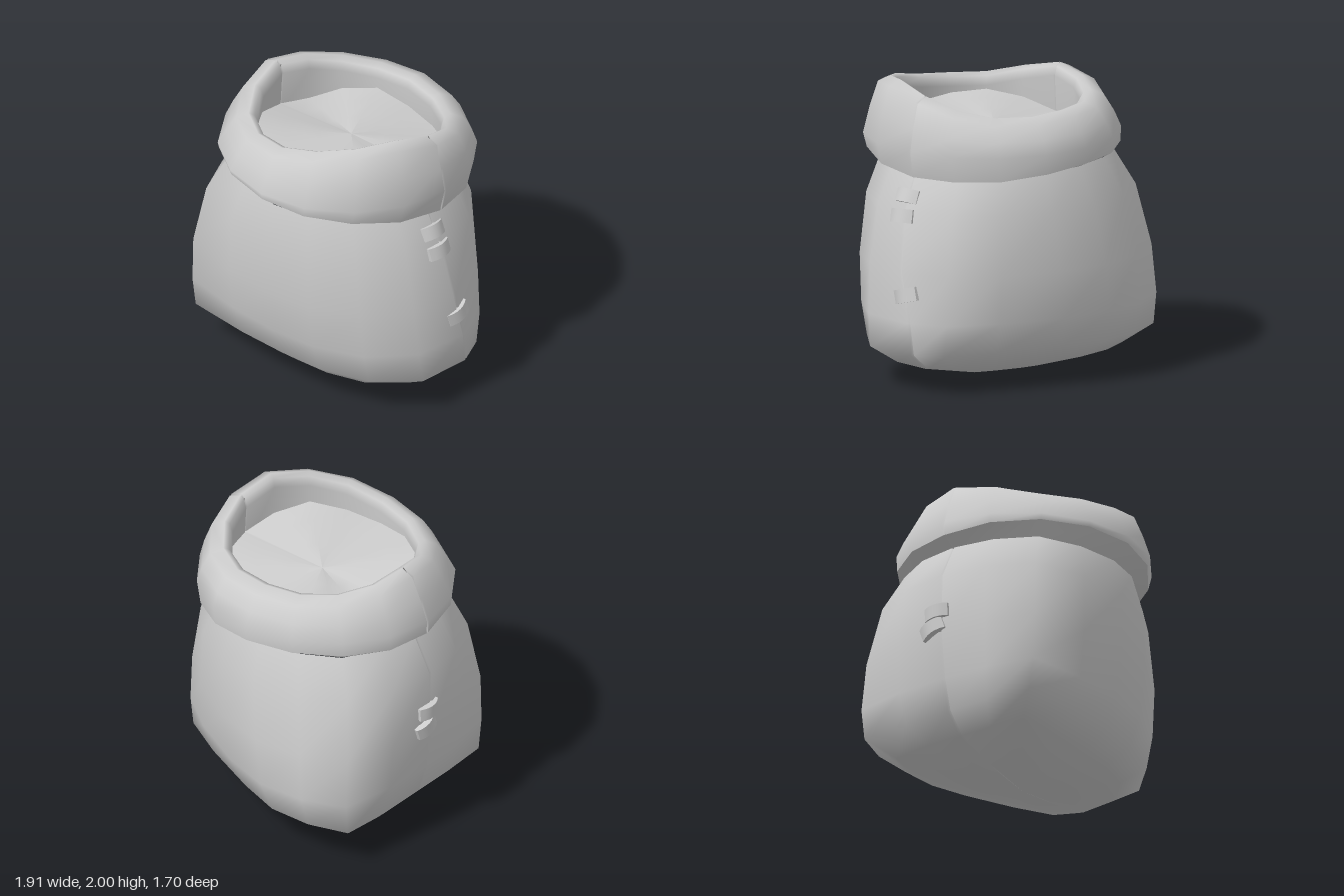
import * as THREE from 'three';

const SIDES = 16, GAP = 0.03;
const cloth = new THREE.MeshStandardMaterial({ color: 0xcccccc });
cloth.name = 'cloth grey';

// Columns round the sack; the two side seams (0 and 8) get three columns each
const columns = [];
for (let k = 0; k < SIDES; k++) {
  if (k % 8 === 0) columns.push([k - GAP, k, 'edge'], [k, k, 'groove'], [k + GAP, k, 'edge']);
  else columns.push([k, k, 'plain']);
}

// Outline of the sagging bottom: two corners on one side, a blunt point on the other
const saggy = [
  [1, 0], [0.93, 0.42], [0.67, 0.79], [0.32, 0.96], [0, 1], [-0.43, 1], [-0.98, 0.95], [-1, 0.45],
  [-1, 0], [-1, -0.45], [-0.96, -0.9], [-0.63, -1], [-0.26, -1], [0.1, -0.86], [0.54, -0.61], [0.86, -0.38],
];
// Heights of the wavy rim, the cuff's hem and the filling's edge at each column
const rim = [1.94, 2.0, 1.97, 1.92, 1.86, 1.83, 1.82, 1.87, 1.92, 1.88, 1.84, 1.82, 1.82, 1.81, 1.82, 1.87];
const hemline = [1.42, 1.45, 1.49, 1.52, 1.545, 1.555, 1.55, 1.53, 1.5, 1.49, 1.49, 1.49, 1.485, 1.46, 1.43, 1.42];
const fill = [1.67, 1.72, 1.77, 1.72, 1.69, 1.71, 1.72, 1.67, 1.6, 1.56, 1.62, 1.66, 1.6, 1.58, 1.63, 1.67];

// Linear reading of a closed list at fractional position k
function around(k, read) {
  const f = Math.floor(k), t = k - f, m = (i) => ((i % SIDES) + SIDES) % SIDES;
  return read(m(f)) * (1 - t) + read(m(f + 1)) * t;
}

// Ring: y (number or function of column), extents left, right, back, front, sag, shift of the right seam
function ring(y, xl, xr, zb, zf, sag = 0, seamZ = 0) {
  return columns.map(([pos, base]) => {
    const k = base === 0 ? pos + seamZ / 0.35 : pos;
    const angle = (i) => (i / SIDES) * Math.PI * 2;
    const ux = around(k, (i) => Math.cos(angle(i)) * (1 - sag) + saggy[i][0] * sag);
    const uz = around(k, (i) => Math.sin(angle(i)) * (1 - sag) + saggy[i][1] * sag);
    const h = typeof y === 'number' ? y : around(k, y);
    return [ux * (ux > 0 ? xr : xl), h, uz * (uz > 0 ? zf : zb)];
  });
}

// Skin over rings, with the seam columns pressed in along the surface normal
function loft(name, rings, grooveDepth = 0) {
  const n = columns.length, index = [];
  for (let r = 0; r < rings.length - 1; r++) {
    for (let c = 0; c < n; c++) {
      const a = r * n + c, b = r * n + ((c + 1) % n);
      index.push(a, a + n, b, b, a + n, b + n);
    }
  }
  const geo = new THREE.BufferGeometry();
  geo.setAttribute('position', new THREE.Float32BufferAttribute(rings.flat(2), 3));
  geo.setIndex(index);
  geo.computeVertexNormals();
  const p = geo.attributes.position, nor = geo.attributes.normal;
  for (let i = n; i < p.count; i++) {
    if (columns[i % n][2] !== 'groove') continue;
    p.setXYZ(i, p.getX(i) - nor.getX(i) * grooveDepth, p.getY(i) - nor.getY(i) * grooveDepth,
      p.getZ(i) - nor.getZ(i) * grooveDepth);
  }
  geo.computeVertexNormals();
  const mesh = new THREE.Mesh(geo, cloth);
  mesh.name = name;
  return mesh;
}

// Short curved strap lying across a seam
function stitch(name, x, y, z, lean, twist) {
  const geo = new THREE.BoxGeometry(0.045, 0.09, 0.18, 1, 1, 6);
  const p = geo.attributes.position;
  for (let i = 0; i < p.count; i++) p.setX(i, p.getX(i) - 4 * p.getZ(i) ** 2);
  geo.computeVertexNormals();
  const mesh = new THREE.Mesh(geo, cloth);
  mesh.name = name;
  mesh.rotation.set(twist, x < 0 ? Math.PI : 0, lean, 'ZYX');
  mesh.position.set(x, y, z);
  return mesh;
}

export function createModel() {
  const sack = new THREE.Group();
  sack.name = 'sack';

  // Body, from the bottom point up to the neck
  sack.add(loft('body', [
    ring(0.0, 0, 0, 0, 0),
    ring(0.05, 0.33, 0.37, 0.3, 0.25, 1, -0.03),
    ring(0.14, 0.68, 0.76, 0.6, 0.51, 1, -0.09),
    ring(0.27, 0.81, 0.97, 0.78, 0.66, 1, -0.12),
    ring(0.48, 0.87, 0.955, 0.85, 0.74, 0.75, -0.08),
    ring(0.8, 0.91, 0.925, 0.85, 0.79, 0.55, 0),
    ring(1.2, 0.9, 0.845, 0.8, 0.79, 0.3, 0.05),
    ring(1.45, 0.77, 0.72, 0.7, 0.73, 0.2, 0.06),
  ], 0.022));

  // Rolled cuff: underside, then outside, rim and inner wall
  const below = (d) => (i) => rim[i] - d;
  const hem = ring((i) => hemline[i], 0.875, 0.8, 0.785, 0.84);
  sack.add(loft('cuffUnderside', [ring(1.44, 0.75, 0.7, 0.68, 0.71, 0.2), hem], 0.02));
  sack.add(loft('cuff', [
    hem,
    ring(1.59, 0.88, 0.84, 0.79, 0.85),
    ring((i) => 0.5 * 1.59 + 0.5 * (rim[i] - 0.04), 0.825, 0.81, 0.755, 0.8),
    ring(below(0.035), 0.755, 0.765, 0.69, 0.735),
    ring(below(0), 0.67, 0.68, 0.6, 0.66),
    ring(below(0.02), 0.63, 0.65, 0.55, 0.62),
    ring(below(0.08), 0.61, 0.63, 0.53, 0.6),
    ring(1.52, 0.63, 0.65, 0.55, 0.62),
  ], 0.03));

  // Uneven filling inside the mouth, level in the middle
  sack.add(loft('filling', [1, 0.7, 0.35, 0].map((s) =>
    ring((i) => 1.65 + (fill[i] - 1.65) * s, 0.64 * s, 0.66 * s, 0.56 * s, 0.63 * s))));

  // Stitches over both seams
  sack.add(
    stitch('rightSeamStitchTop', 0.8, 1.29, 0.06, 0.4, 0),
    stitch('rightSeamStitchMiddle', 0.855, 1.165, 0.06, 0.25, 0.07),
    stitch('rightSeamStitchLow', 0.93, 0.66, -0.035, 0.08, 0.28),
    stitch('leftSeamStitchUpper', -0.925, 0.94, -0.03, 0, 0.05),
    stitch('leftSeamStitchLower', -0.93, 0.83, -0.06, 0, 0.35),
  );
  return sack;
}
